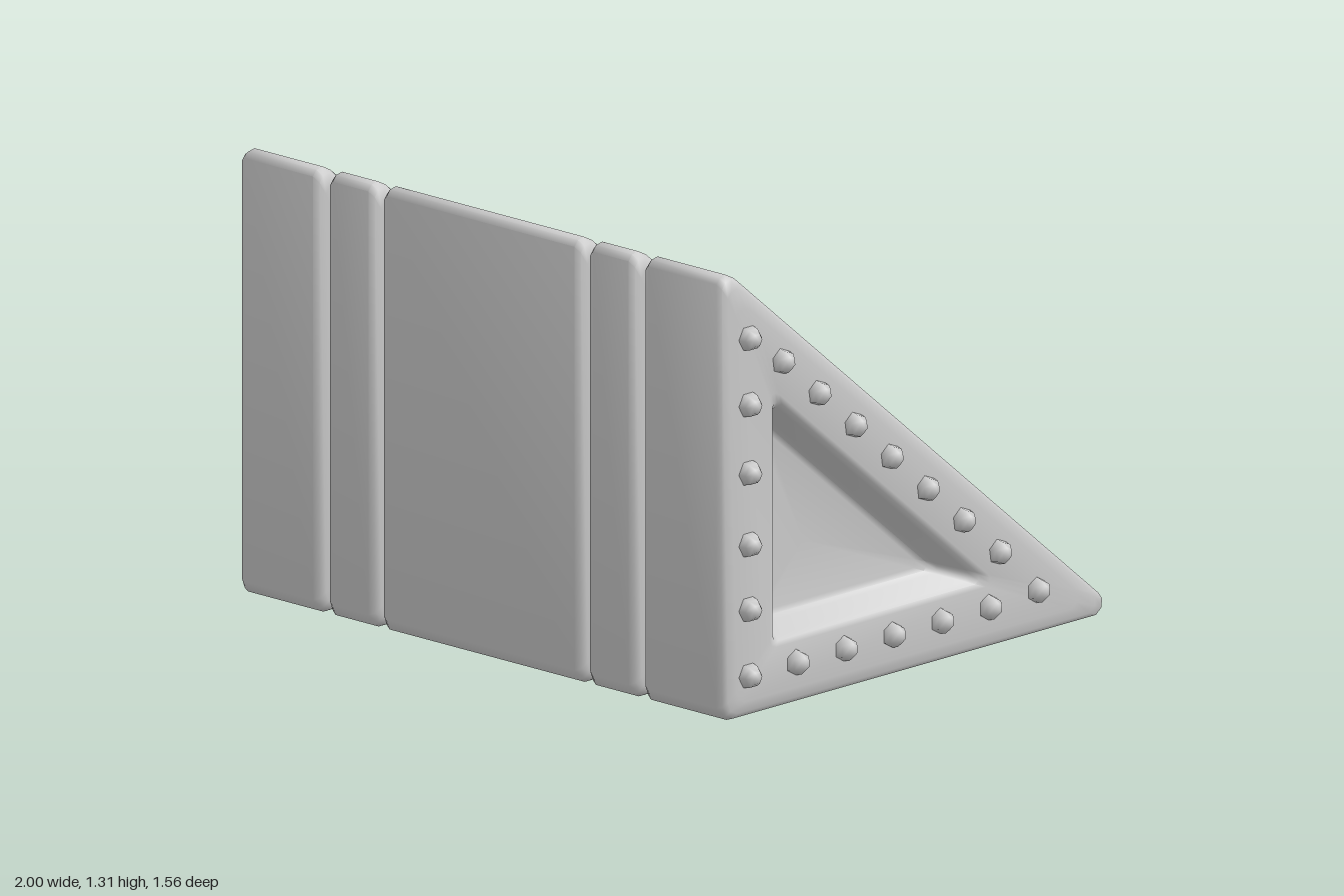
import * as THREE from 'three';
import { toCreasedNormals } from 'three/addons/utils/BufferGeometryUtils.js';

// Triangular cross-section with eased corners, as [z, y]
const OUTLINE = [
  [0.78, 1.285], [0.766, 1.302], [0.742, 1.307], [0.71, 1.291],
  [-0.765, 0.064], [-0.78, 0.044], [-0.777, 0.018], [-0.755, 0],
  [0.738, 0], [0.768, 0.012], [0.78, 0.042],
];
// Scaling about the incentre insets all three sides by the same amount
const CENTRE = [0.349, 0.431];
const INRADIUS = 0.431;

// Lofts the cross-section along a profile of [x, inset] stations
function loft(profile) {
  const rings = profile.map(([x, inset]) => {
    const s = 1 - inset / INRADIUS;
    return OUTLINE.map(([z, y]) => [x, CENTRE[1] + (y - CENTRE[1]) * s, CENTRE[0] + (z - CENTRE[0]) * s]);
  });
  const pos = [];
  const n = OUTLINE.length;
  for (let i = 0; i < rings.length - 1; i++) {
    for (let j = 0; j < n; j++) {
      const k = (j + 1) % n;
      const a = rings[i][j], b = rings[i][k], c = rings[i + 1][j], d = rings[i + 1][k];
      if (profile[i + 1][1] < INRADIUS) pos.push(...b, ...c, ...d);
      if (profile[i][1] < INRADIUS) pos.push(...a, ...c, ...b);
    }
  }
  const geo = new THREE.BufferGeometry();
  geo.setAttribute('position', new THREE.Float32BufferAttribute(pos, 3));
  return toCreasedNormals(geo, 0.9);
}

const mirrorX = (profile) => profile.map(([x, d]) => [-x, d]).reverse();

// Rounded edge rising from the groove to the outer surface
const roundIn = (x) => [[x, INRADIUS], [x, 0.06], [x + 0.002, 0.026], [x + 0.01, 0.008], [x + 0.028, 0]];
const roundOut = (x) => mirrorX(roundIn(-x));

export function createModel() {
  const group = new THREE.Group();
  const mat = new THREE.MeshStandardMaterial({ color: 0xcccccc });
  const add = (name, geo, parent = group) => {
    const mesh = new THREE.Mesh(geo, mat);
    mesh.name = name;
    parent.add(mesh);
    return mesh;
  };

  // Core seen at the bottom of the grooves
  add('core', loft([[-0.8, INRADIUS], [-0.8, 0.047], [0.8, 0.047], [0.8, INRADIUS]]));

  // Wide middle panel
  add('centrePanel', loft([...roundIn(-0.397), ...roundOut(0.397)]));

  // Narrow strips and end blocks with a recessed triangular face
  const strip = [...roundIn(0.413), ...roundOut(0.609)];
  const endBlock = [
    ...roundIn(0.63),
    [0.925, 0], [0.943, 0.006], [0.952, 0.02], [0.957, 0.05],
    [0.957, 0.185], [0.952, 0.2], [0.935, 0.21],
    [0.87, 0.233], [0.852, 0.242], [0.848, 0.258], [0.848, INRADIUS],
  ];
  add('leftStrip', loft(strip));
  add('rightStrip', loft(mirrorX(strip)));
  add('leftEndBlock', loft(endBlock));
  add('rightEndBlock', loft(mirrorX(endBlock)));

  // Bolt rows as [z, y, twist]
  const bolts = [];
  for (const y of [0.125, 0.32, 0.51, 0.72, 0.92, 1.115]) bolts.push([0.683, y, Math.PI / 2]);
  for (let i = 0; i < 6; i++) bolts.push([0.49 - i * 0.195, i === 5 ? 0.135 : 0.125, 0]);
  for (let i = 0; i < 7; i++) bolts.push([0.548 - i * 0.1463, 1.02 - i * 0.1235, 0.15]);

  // Six-sided domed bolt heads on both ends
  const dome = new THREE.SphereGeometry(0.038, 6, 3, 0, Math.PI * 2, 0, Math.PI / 2);
  dome.scale(1, 1.13, 1);
  dome.rotateZ(-Math.PI / 2);
  for (const side of [1, -1]) {
    const row = new THREE.Group();
    row.name = side > 0 ? 'leftBolts' : 'rightBolts';
    group.add(row);
    for (const [z, y, twist] of bolts) {
      const bolt = add('bolt', dome, row);
      bolt.position.set(side * 0.957, y, z);
      bolt.rotation.set(twist, 0, side > 0 ? 0 : Math.PI);
    }
  }
  return group;
}
